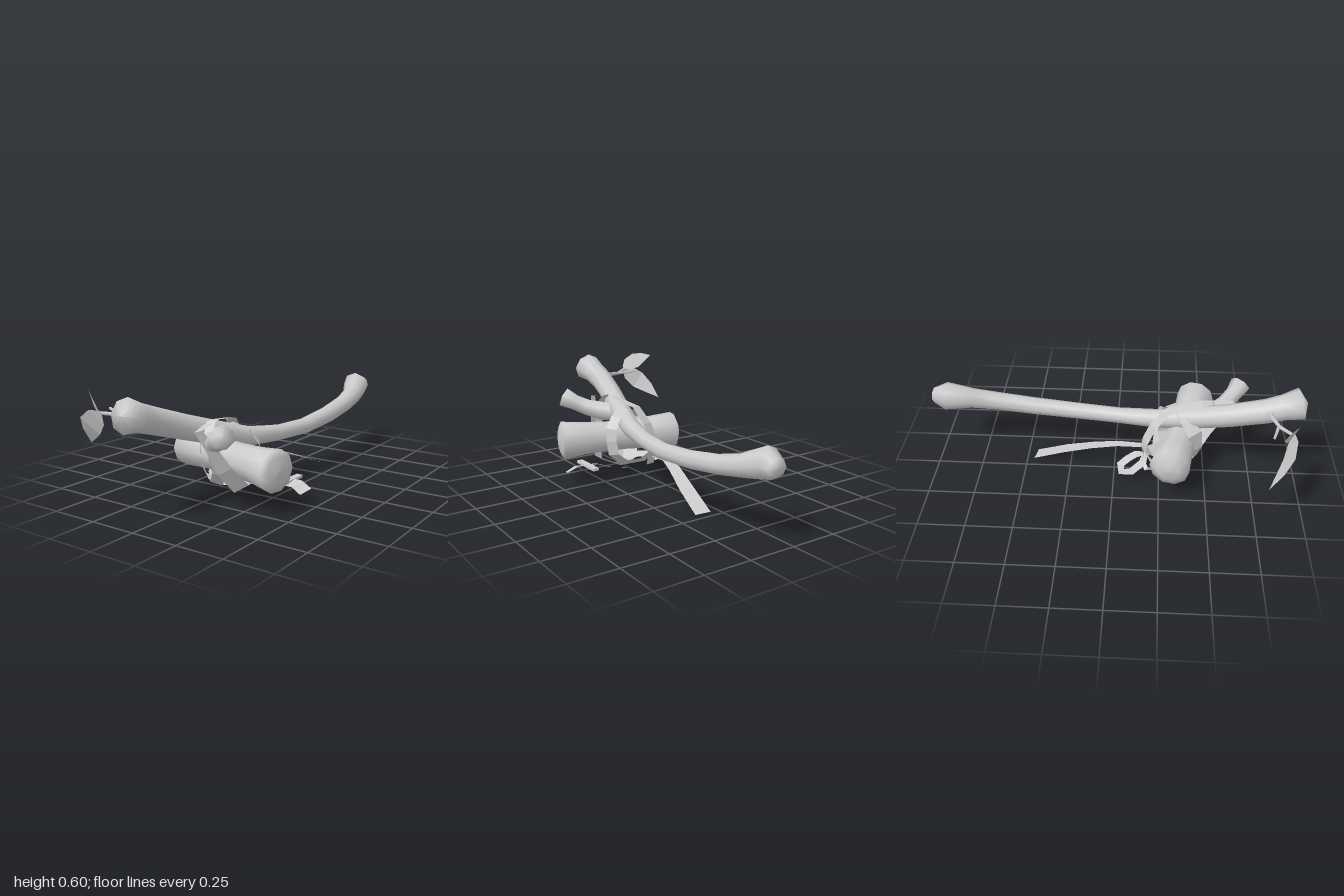
import * as THREE from 'three';

const V = (a) => new THREE.Vector3(a[0], a[1], a[2]);
const UP = new THREE.Vector3(0, 1, 0);
const wood = new THREE.MeshStandardMaterial({ color: 0xcccccc });
const cloth = new THREE.MeshStandardMaterial({ color: 0xcccccc, side: THREE.DoubleSide, flatShading: true });

function tangent(rows, i, closed) {
  const n = rows.length;
  const a = closed ? rows[(i + n - 1) % n] : rows[Math.max(i - 1, 0)];
  const b = closed ? rows[(i + 1) % n] : rows[Math.min(i + 1, n - 1)];
  return V(b).sub(V(a)).normalize();
}

function build(name, pos, idx, material) {
  const geo = new THREE.BufferGeometry();
  geo.setAttribute('position', new THREE.Float32BufferAttribute(pos, 3));
  geo.setIndex(idx);
  geo.computeVertexNormals();
  const mesh = new THREE.Mesh(geo, material);
  mesh.name = name;
  return mesh;
}

// Round limb: rows of [x, y, z, radius]; a zero radius closes an end.
function limb(name, rows, sides) {
  const pos = [], idx = [];
  rows.forEach((row, i) => {
    const t = tangent(rows, i, false);
    const side = t.clone().cross(UP).normalize();
    const up = side.clone().cross(t);
    for (let j = 0; j < sides; j++) {
      const a = (j / sides) * Math.PI * 2;
      const p = V(row).addScaledVector(side, Math.cos(a) * row[3]).addScaledVector(up, Math.sin(a) * row[3]);
      pos.push(p.x, p.y, p.z);
      if (i < rows.length - 1) {
        const k = (j + 1) % sides, b = i * sides, c = b + sides;
        idx.push(b + j, c + j, b + k, b + k, c + j, c + k);
      }
    }
  });
  return build(name, pos, idx, wood);
}

// Flat strip: rows of [x, y, z, width]; it faces away from a centre or along a fixed normal.
function ribbon(name, rows, { closed = false, centre = null, normal = UP } = {}) {
  const pos = [], idx = [], n = rows.length;
  rows.forEach((row, i) => {
    const out = centre ? V(row).sub(centre) : normal;
    const across = tangent(rows, i, closed).cross(out).normalize().multiplyScalar(row[3] / 2);
    const a = V(row).add(across), b = V(row).sub(across);
    pos.push(a.x, a.y, a.z, b.x, b.y, b.z);
    if (closed || i < n - 1) {
      const c = i * 2, d = ((i + 1) % n) * 2;
      idx.push(c, d, c + 1, c + 1, d, d + 1);
    }
  });
  return build(name, pos, idx, cloth);
}

export function createModel() {
  const model = new THREE.Group();

  // Long curved handle with flared, bevelled ends
  model.add(limb('handle', [
    [-0.045, 0.525, 0.998, 0], [-0.045, 0.52, 0.968, 0.084], [-0.05, 0.495, 0.88, 0.068],
    [-0.048, 0.465, 0.79, 0.065], [-0.015, 0.405, 0.61, 0.062], [0.035, 0.345, 0.42, 0.06],
    [0.085, 0.295, 0.23, 0.052], [0.127, 0.277, 0.02, 0.044], [0.158, 0.275, -0.2, 0.045],
    [0.165, 0.295, -0.45, 0.048], [0.16, 0.325, -0.66, 0.05], [0.143, 0.353, -0.8, 0.056],
    [0.1, 0.393, -0.93, 0.077], [0.115, 0.388, -0.995, 0.045], [0.115, 0.388, -1, 0],
  ], 8));

  // Stub of a side branch
  model.add(limb('branchStub', [
    [0.03, 0.33, 0.46, 0.045], [0.09, 0.335, 0.53, 0.057], [0.16, 0.352, 0.6, 0.048],
    [0.215, 0.38, 0.65, 0.046], [0.268, 0.412, 0.69, 0.058], [0.275, 0.417, 0.696, 0],
  ], 7));

  // Log head, waisted in the middle, with slightly bulging ends
  const log = [
    [-0.03, 0], [-0.02, 0.06], [0.015, 0.107], [0.2, 0.095], [0.42, 0.085],
    [0.6, 0.085], [0.8, 0.092], [0.99, 0.107], [1.01, 0.07], [1.02, 0],
  ];
  model.add(limb('logHead', log.map(([s, r]) => [-0.252 + 0.66 * s, 0.218, 0.297 + 0.16 * s, r]), 10));

  // Forked twig and its two leaves
  const twig = new THREE.Group();
  twig.name = 'twig';
  twig.add(
    limb('twigStem', [[-0.07, 0.495, 0.79, 0.014], [-0.13, 0.487, 0.81, 0.012], [-0.2, 0.482, 0.84, 0.01],
      [-0.275, 0.492, 0.895, 0.009], [-0.278, 0.492, 0.897, 0]], 5),
    limb('twigFork', [[-0.19, 0.482, 0.838, 0.009], [-0.25, 0.485, 0.82, 0.008],
      [-0.31, 0.495, 0.8, 0.007], [-0.312, 0.495, 0.8, 0]], 5),
    ribbon('lowerLeaf', [[-0.27, 0.5, 0.9, 0.015], [-0.305, 0.468, 0.895, 0.1], [-0.37, 0.415, 0.875, 0.125],
      [-0.42, 0.365, 0.835, 0.085], [-0.47, 0.3, 0.78, 0]], { normal: new THREE.Vector3(0, -0.4, 0.9) }),
    ribbon('upperLeaf', [[-0.275, 0.5, 0.905, 0.01], [-0.305, 0.52, 0.895, 0.08], [-0.35, 0.545, 0.875, 0.095],
      [-0.39, 0.565, 0.85, 0.06], [-0.432, 0.58, 0.82, 0]], { normal: new THREE.Vector3(0.53, 0.31, -0.78) }),
  );
  model.add(twig);

  // Straps binding the head to the handle
  const centre = new THREE.Vector3(0.05, 0.24, 0.36);
  const straps = new THREE.Group();
  straps.name = 'straps';
  straps.add(
    ribbon('lengthwiseStrap', [
      [-0.025, 0.22, 0.17, 0.07], [-0.01, 0.31, 0.21, 0.07], [0.015, 0.395, 0.285, 0.06], [0.055, 0.425, 0.47, 0.055],
      [0.095, 0.405, 0.645, 0.04], [0.13, 0.3, 0.585, 0.055], [0.155, 0.19, 0.525, 0.08],
      [0.185, 0.085, 0.43, 0.085], [0.13, 0.07, 0.31, 0.08], [0.03, 0.105, 0.2, 0.07], [-0.02, 0.16, 0.16, 0.06],
    ], { closed: true, centre }),
    ribbon('crossStrap', [
      [0.185, 0.29, 0.28, 0.065], [0.14, 0.35, 0.3, 0.06], [0.07, 0.385, 0.34, 0.06], [-0.02, 0.355, 0.39, 0.07],
      [-0.062, 0.305, 0.435, 0.09], [-0.06, 0.2, 0.445, 0.09], [-0.03, 0.115, 0.425, 0.085],
      [0.02, 0.072, 0.36, 0.075], [0.1, 0.08, 0.29, 0.07], [0.175, 0.14, 0.27, 0.07], [0.19, 0.22, 0.27, 0.065],
    ], { closed: true, centre }),
    ribbon('frontStrap', [
      [0.075, 0.43, 0.52, 0.045], [0.1, 0.36, 0.585, 0.05], [0.112, 0.26, 0.545, 0.065], [0.1, 0.16, 0.495, 0.07],
      [0.02, 0.08, 0.42, 0.065], [-0.07, 0.095, 0.32, 0.06], [-0.13, 0.12, 0.25, 0.05], [-0.04, 0.14, 0.18, 0.05],
    ], { centre }),
  );
  model.add(straps);

  // Bow loops and long trailing end behind the head
  model.add(
    ribbon('bowLoop', [
      [-0.02, 0.125, 0.17, 0.05], [-0.07, 0.105, 0.16, 0.045], [-0.125, 0.085, 0.1, 0.045], [-0.13, 0.085, 0.045, 0.045],
      [-0.085, 0.1, 0.04, 0.045], [-0.05, 0.115, 0.08, 0.045], [-0.025, 0.125, 0.12, 0.045],
    ], { closed: true, normal: new THREE.Vector3(-0.2, 0.95, 0) }),
    ribbon('smallLoop', [
      [-0.03, 0.14, 0.18, 0.025], [-0.09, 0.135, 0.16, 0.025], [-0.14, 0.12, 0.18, 0.025],
      [-0.12, 0.1, 0.21, 0.025], [-0.06, 0.09, 0.22, 0.025],
    ], { closed: true, normal: new THREE.Vector3(0, 0.8, -0.6) }),
    ribbon('trailingEnd', [
      [-0.01, 0.08, 0.18, 0.05], [-0.005, 0.175, 0.15, 0.04], [0.005, 0.172, 0.02, 0.05], [0.03, 0.135, -0.12, 0.065],
      [0.065, 0.075, -0.28, 0.08], [0.093, 0.004, -0.455, 0.085],
    ], { normal: new THREE.Vector3(0.05, 1, 0) }),
  );

  // Flat tab under the right end of the log, held by a small clip
  model.add(ribbon('tab', [
    [0.12, 0.065, 0.24, 0.06], [0.21, 0.08, 0.25, 0.065], [0.29, 0.11, 0.265, 0.075],
    [0.41, 0.112, 0.28, 0.075], [0.465, 0.085, 0.29, 0.075],
  ], { normal: new THREE.Vector3(0, 1, 0.25) }));
  const clip = new THREE.Mesh(new THREE.BoxGeometry(0.035, 0.014, 0.19), wood);
  clip.name = 'tabClip';
  clip.position.set(0.352, 0.114, 0.255);
  model.add(clip);

  return model;
}
